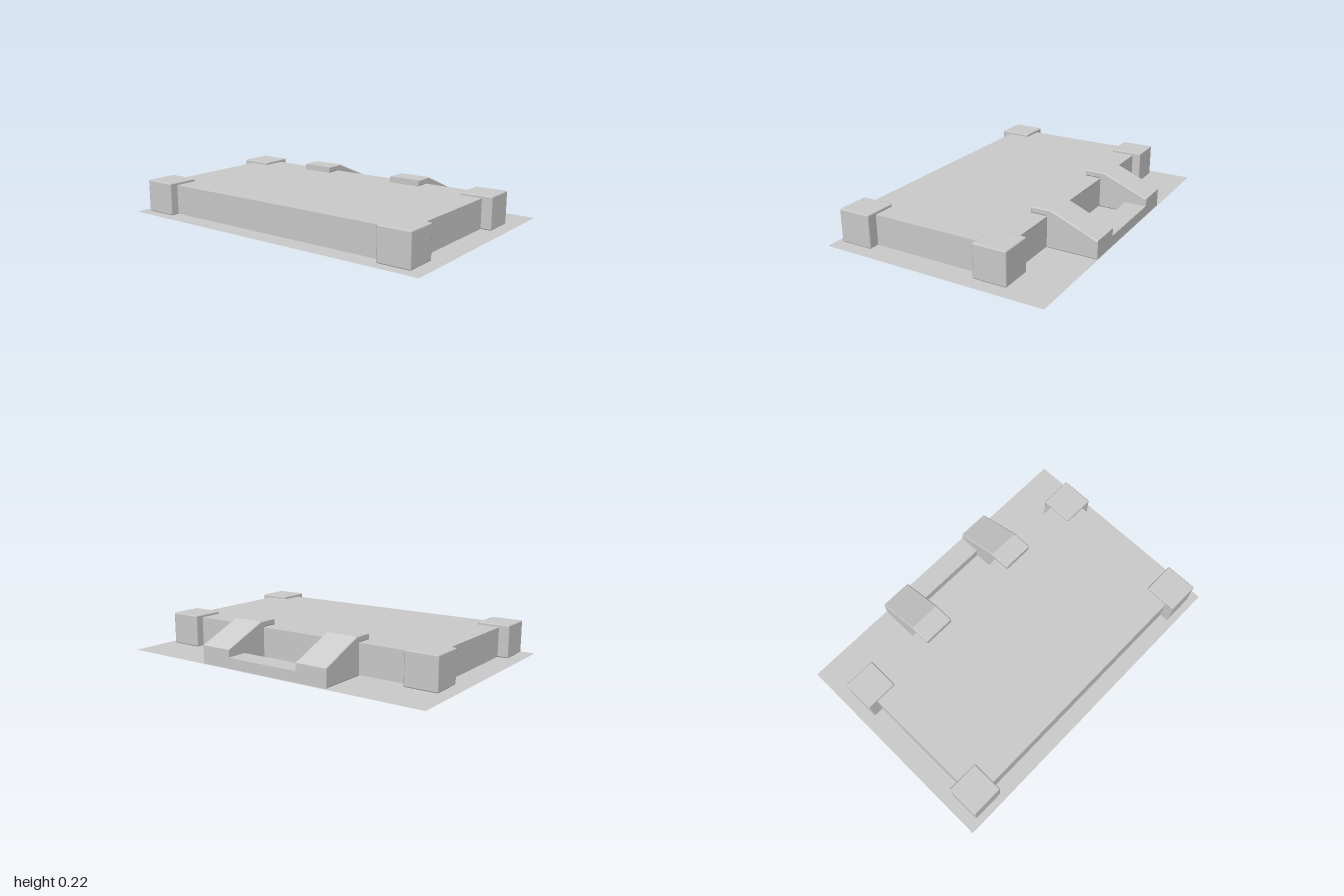
import * as THREE from 'three';
import { RoundedBoxGeometry } from 'three/addons/geometries/RoundedBoxGeometry.js';

export function createModel() {
  const model = new THREE.Group();
  const grey = new THREE.MeshStandardMaterial({ color: 0xcccccc, side: THREE.DoubleSide });
  grey.name = 'plain grey';

  const add = (name, geometry, x, y, z) => {
    const mesh = new THREE.Mesh(geometry, grey);
    mesh.name = name;
    mesh.position.set(x, y, z);
    model.add(mesh);
    return mesh;
  };

  // Thin ground sheet
  add('groundSheet', new THREE.PlaneGeometry(2, 1.333).rotateX(-Math.PI / 2), 0, 0, 0);

  // Main raised slab
  add('platform', new THREE.BoxGeometry(1.736, 0.176, 0.94), 0, 0.097, 0.102);

  // Corner blocks with softened edges
  for (const x of [-0.832, 0.832]) {
    for (const z of [-0.322, 0.527]) {
      add('cornerBlock', new RoundedBoxGeometry(0.197, 0.195, 0.197, 1, 0.008), x, 0.1045, z);
    }
  }

  // Sloping stair cheeks that hook over the slab; profile is drawn in (-z, y)
  const bevel = 0.005;
  const profile = new THREE.Shape([
    [0.66, 0.008], [0.66, 0.106], [0.39, 0.217], [0.273, 0.217],
    [0.273, 0.19], [0.365, 0.19], [0.365, 0.008],
  ].map(([z, y]) => new THREE.Vector2(z, y)));
  const cheekWidth = 0.197;
  const cheek = new THREE.ExtrudeGeometry(profile, {
    depth: cheekWidth - 2 * bevel, bevelEnabled: true, bevelThickness: bevel,
    bevelSize: bevel, bevelSegments: 1,
  });
  cheek.translate(0, 0, -cheekWidth / 2 + bevel).rotateY(Math.PI / 2);
  for (const x of [-0.333, 0.333]) add('stairCheek', cheek, x, 0, 0);

  // Low step between the cheeks
  add('step', new THREE.BoxGeometry(0.48, 0.062, 0.13), 0, 0.034, -0.6);

  return model;
}
